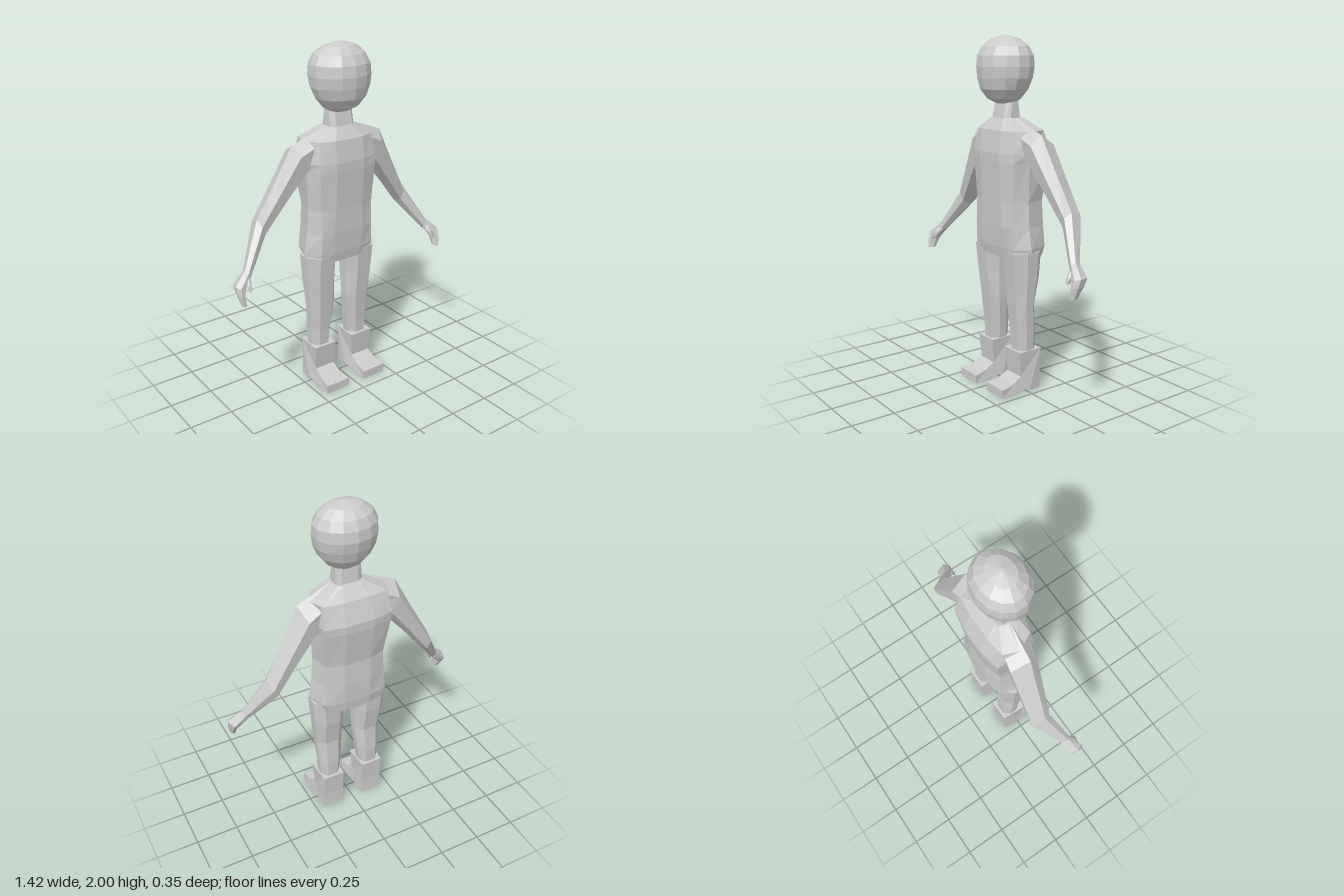
import * as THREE from 'three';

const mat = new THREE.MeshStandardMaterial({ color: 0xcccccc, flatShading: true });

function mesh(geometry, name) {
  const m = new THREE.Mesh(geometry, mat);
  m.name = name;
  return m;
}

// Skin a row of closed rings ([x, y, z] points) and cap both ends, always facing outwards.
function loft(rings, name) {
  const n = rings[0].length;
  const tris = [];
  for (let r = 0; r < rings.length - 1; r++) {
    for (let i = 0; i < n; i++) {
      const j = (i + 1) % n;
      const [a, b, c, d] = [rings[r][i], rings[r][j], rings[r + 1][j], rings[r + 1][i]];
      tris.push([a, b, c], [a, c, d]);
    }
  }
  const cap = (ring, flip) => {
    const mid = [0, 1, 2].map(k => ring.reduce((s, p) => s + p[k], 0) / n);
    ring.forEach((p, i) => {
      const q = ring[(i + 1) % n];
      tris.push(flip ? [mid, q, p] : [mid, p, q]);
    });
  };
  cap(rings[0], true);
  cap(rings[rings.length - 1], false);
  const v = p => new THREE.Vector3(...p);
  const volume = tris.reduce((s, [a, b, c]) => s + v(a).dot(v(b).cross(v(c))), 0);
  if (volume < 0) tris.forEach(t => t.reverse());
  const g = new THREE.BufferGeometry();
  g.setAttribute('position', new THREE.Float32BufferAttribute(tris.flat(2), 3));
  g.computeVertexNormals();
  return mesh(g, name);
}

// Symmetric body ring from its half outline [x, z], front to back.
function bodyRing(y, half) {
  return [
    ...half.map(([x, z]) => [x, y, z]),
    ...half.slice().reverse().map(([x, z]) => [-x, y, z]),
  ];
}

// Hexagonal limb ring between an upper-outer and a lower-inner point.
function limbRing(side, [ux, uy], [lx, ly], front, back) {
  const mid = (front + back) / 2, h = (front - back) / 2;
  return [[0, 0.3], [0.3, 1], [0.8, 0.85], [1, 0], [0.8, -0.85], [0.3, -1]].map(([t, s]) =>
    [side * (ux + (lx - ux) * t), uy + (ly - uy) * t, mid + h * s]);
}

// Eight-sided leg ring from its extents.
function legRing(side, y, inner, outer, front, back) {
  const cx = (inner + outer) / 2, w = (outer - inner) / 2;
  const cz = (front + back) / 2, d = (front - back) / 2;
  return [[0.5, 1], [1, 0.35], [1, -0.4], [0.5, -1], [-0.5, -1], [-1, -0.4], [-1, 0.35], [-0.5, 1]]
    .map(([x, z]) => [side * (cx + w * x), y, cz + d * z]);
}

function makeHead() {
  // y, half width, front z, back z
  const rows = [
    [1.632, 0.06, 0.05, -0.04], [1.66, 0.105, 0.105, -0.075], [1.71, 0.145, 0.142, -0.115],
    [1.77, 0.172, 0.155, -0.135], [1.83, 0.18, 0.16, -0.147], [1.89, 0.176, 0.152, -0.14],
    [1.94, 0.15, 0.125, -0.115], [1.98, 0.095, 0.08, -0.065], [2.0, 0.012, 0.02, 0],
  ];
  const rings = rows.map(([y, w, f, b]) => Array.from({ length: 14 }, (_, i) => {
    const a = (i / 14) * Math.PI * 2;
    return [Math.sin(a) * w, y, (f + b) / 2 + Math.cos(a) * (f - b) / 2];
  }));
  return loft(rings, 'head');
}

function makeTorso() {
  return loft([
    bodyRing(0.78, [[0.08, 0.082], [0.165, 0.075], [0.232, 0.0], [0.17, -0.125], [0.07, -0.148]]),
    bodyRing(0.84, [[0.09, 0.092], [0.175, 0.08], [0.236, 0.0], [0.19, -0.13], [0.08, -0.155]]),
    bodyRing(0.96, [[0.1, 0.1], [0.17, 0.085], [0.216, 0.0], [0.18, -0.125], [0.08, -0.155]]),
    bodyRing(1.1, [[0.09, 0.103], [0.17, 0.08], [0.208, 0.0], [0.175, -0.12], [0.08, -0.148]]),
    bodyRing(1.32, [[0.09, 0.115], [0.185, 0.09], [0.215, 0.0], [0.2, -0.15], [0.085, -0.175]]),
    bodyRing(1.37, [[0.09, 0.115], [0.185, 0.088], [0.225, 0.0], [0.205, -0.152], [0.085, -0.175]]),
    bodyRing(1.49, [[0.09, 0.097], [0.17, 0.07], [0.225, -0.03], [0.19, -0.115], [0.08, -0.13]]),
    bodyRing(1.555, [[0.05, 0.055], [0.075, 0.045], [0.09, -0.01], [0.075, -0.06], [0.05, -0.07]]),
  ], 'torso');
}

function makeNeck() {
  return loft([
    bodyRing(1.53, [[0.055, 0.06], [0.08, 0.03], [0.08, -0.04], [0.05, -0.06]]),
    bodyRing(1.67, [[0.05, 0.03], [0.075, 0.01], [0.075, -0.025], [0.045, -0.04]]),
  ], 'neck');
}

function makeArm(side) {
  const arm = new THREE.Group();
  arm.name = side > 0 ? 'leftArm' : 'rightArm';
  const ring = (...args) => limbRing(side, ...args);
  arm.add(loft([
    ring([0.09, 1.555], [0.12, 1.36], 0.05, -0.09),
    ring([0.295, 1.477], [0.215, 1.285], 0.04, -0.12),
    ring([0.4, 1.28], [0.34, 1.145], 0.015, -0.122),
    ring([0.505, 1.09], [0.465, 0.99], -0.01, -0.126),
    ring([0.635, 0.86], [0.6, 0.82], 0.052, -0.008),
  ], 'armSleeve'));
  arm.add(loft([
    ring([0.635, 0.862], [0.6, 0.818], 0.052, -0.008),
    ring([0.71, 0.795], [0.65, 0.775], 0.088, 0.0),
    ring([0.708, 0.75], [0.665, 0.745], 0.1, 0.025),
    ring([0.695, 0.69], [0.665, 0.692], 0.108, 0.06),
  ], 'hand'));
  arm.add(loft([
    ring([0.645, 0.83], [0.61, 0.815], 0.06, 0.02),
    ring([0.65, 0.79], [0.62, 0.79], 0.088, 0.05),
    ring([0.645, 0.758], [0.63, 0.765], 0.098, 0.07),
  ], 'thumb'));
  return arm;
}

// Boot: side profile extruded across x, then shaped by height.
function makeBoot(side) {
  const profile = new THREE.Shape([
    [-0.097, 0], [-0.02, 0], [-0.02, 0.022], [0.03, 0.015], [0.09, 0], [0.178, 0],
    [0.178, 0.05], [0.1, 0.062], [0.04, 0.095], [0.052, 0.24], [-0.102, 0.24], [-0.095, 0.095],
  ].map(p => new THREE.Vector2(...p)));
  const g = new THREE.ExtrudeGeometry(profile, { depth: 2, bevelEnabled: false });
  g.translate(0, 0, -1);
  g.rotateY(-Math.PI / 2);
  const p = g.attributes.position;
  for (let i = 0; i < p.count; i++) {
    const y = p.getY(i), z = p.getZ(i);
    let w = y > 0.2 ? 0.072 : y > 0.08 ? 0.062 : 0.077;
    if (z < -0.05) w = 0.066;
    if (y > 0.055 && y < 0.08) w = 0.068;
    p.setX(i, side * 0.132 + p.getX(i) * w);
  }
  g.computeVertexNormals();
  return mesh(g, 'boot');
}

function makeLeg(side) {
  const leg = new THREE.Group();
  leg.name = side > 0 ? 'leftLeg' : 'rightLeg';
  leg.add(loft([
    legRing(side, 0.2, 0.075, 0.19, 0.033, -0.085),
    legRing(side, 0.34, 0.06, 0.198, 0.04, -0.088),
    legRing(side, 0.5, 0.045, 0.209, 0.055, -0.075),
    legRing(side, 0.66, 0.042, 0.222, 0.07, -0.1),
    legRing(side, 0.82, 0.035, 0.233, 0.084, -0.11),
  ], 'trouserLeg'));
  leg.add(makeBoot(side));
  return leg;
}

export function createModel() {
  const model = new THREE.Group();
  model.name = 'figure';
  model.add(makeHead(), makeNeck(), makeTorso());
  for (const side of [1, -1]) model.add(makeArm(side), makeLeg(side));
  return model;
}
